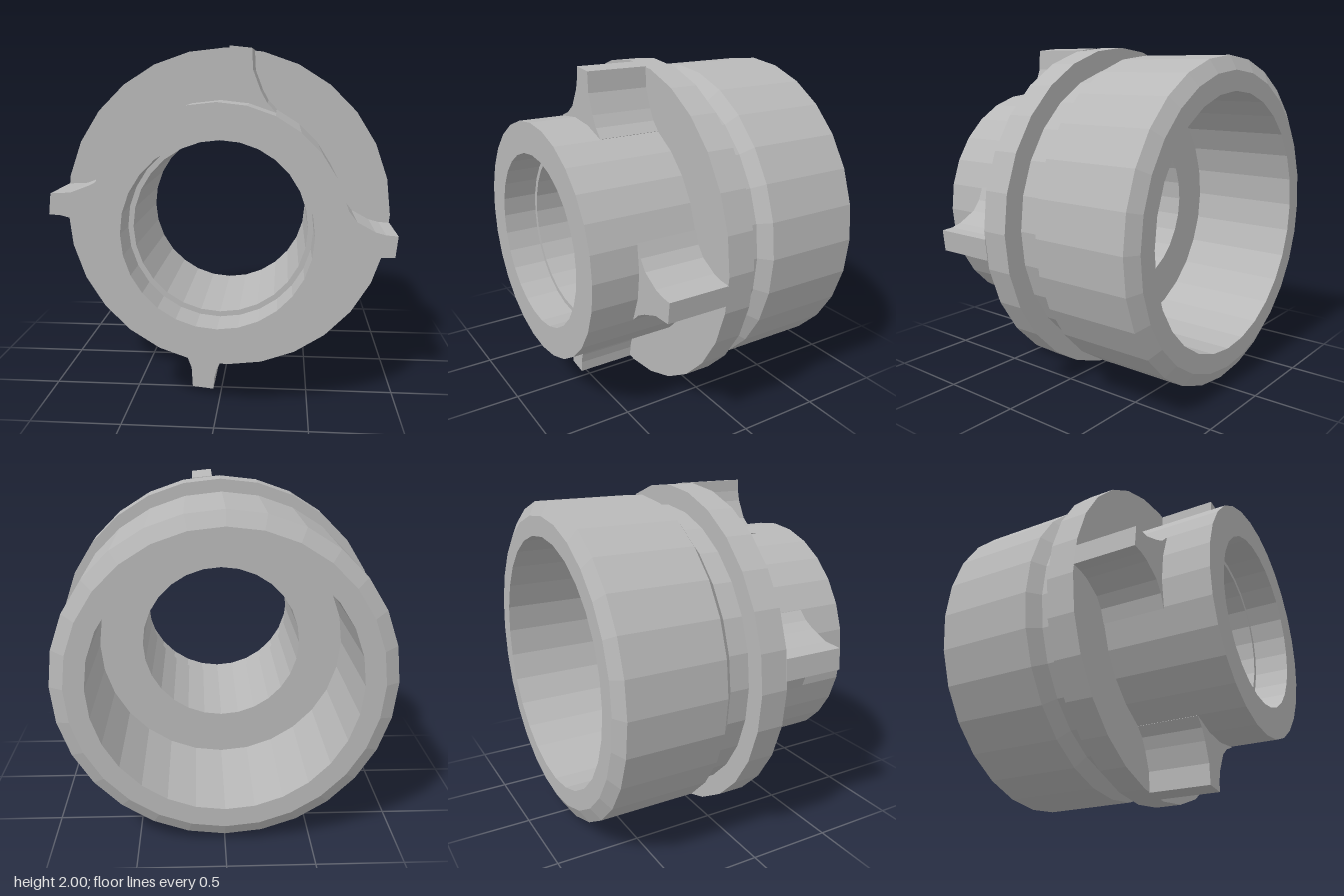
import * as THREE from 'three';

const SIDES = 28;

// Facet normals baked into the geometry
function faceted(geometry) {
  const g = geometry.index ? geometry.toNonIndexed() : geometry;
  g.computeVertexNormals();
  return g;
}

export function createModel() {
  const model = new THREE.Group();
  model.name = 'pipeCoupling';
  const metal = new THREE.MeshStandardMaterial({ color: 0xb8b8b8 });
  metal.name = 'grey metal';

  // Turned section around the z axis from [radius, z] pairs
  function turned(name, profile) {
    const points = profile.map(([r, z]) => new THREE.Vector2(r, z));
    const g = new THREE.LatheGeometry(points, SIDES);
    g.rotateX(Math.PI / 2);
    const mesh = new THREE.Mesh(faceted(g), metal);
    mesh.name = name;
    mesh.position.y = 1;
    model.add(mesh);
  }

  // Outer sections run back to front, bores run front to back
  turned('rearRim', [[0.755, -0.81], [0.87, -0.81]]);
  turned('rearSocket', [[0.87, -0.81], [0.95, -0.765], [0.95, -0.18], [0.88, -0.12]]);
  turned('neck', [[0.88, -0.12], [0.88, 0]]);
  turned('flange', [[0.88, 0], [1, 0], [1, 0.165], [0.705, 0.165]]);
  turned('frontHub', [[0.705, 0.165], [0.705, 0.81], [0.52, 0.81]]);
  turned('frontBore', [[0.52, 0.81], [0.52, 0.6], [0.49, 0.6], [0.49, -0.12]]);
  turned('rearBore', [[0.49, -0.12], [0.755, -0.12], [0.755, -0.81]]);

  // Four flared lugs between the flange and the hub
  const outline = [
    [0.171, 0.985], [0.048, 0.998], [0.043, 0.93], [0.027, 0.87], [-0.03, 0.766],
    [-0.09, 0.72], [-0.166, 0.69], [-0.1, 0.6], [0.23, 0.57], [0.305, 0.638],
    [0.255, 0.69], [0.22, 0.755], [0.177, 0.868],
  ];
  const shape = new THREE.Shape(outline.map(([x, y]) => new THREE.Vector2(x, y)));
  const lugGeometry = faceted(new THREE.ExtrudeGeometry(shape, { depth: 0.37, bevelEnabled: false }));
  for (let i = 0; i < 4; i++) {
    const lug = new THREE.Mesh(lugGeometry, metal);
    lug.name = `lug${i + 1}`;
    lug.position.set(0, 1, 0.163);
    lug.rotation.z = (i * Math.PI) / 2;
    model.add(lug);
  }
  return model;
}
